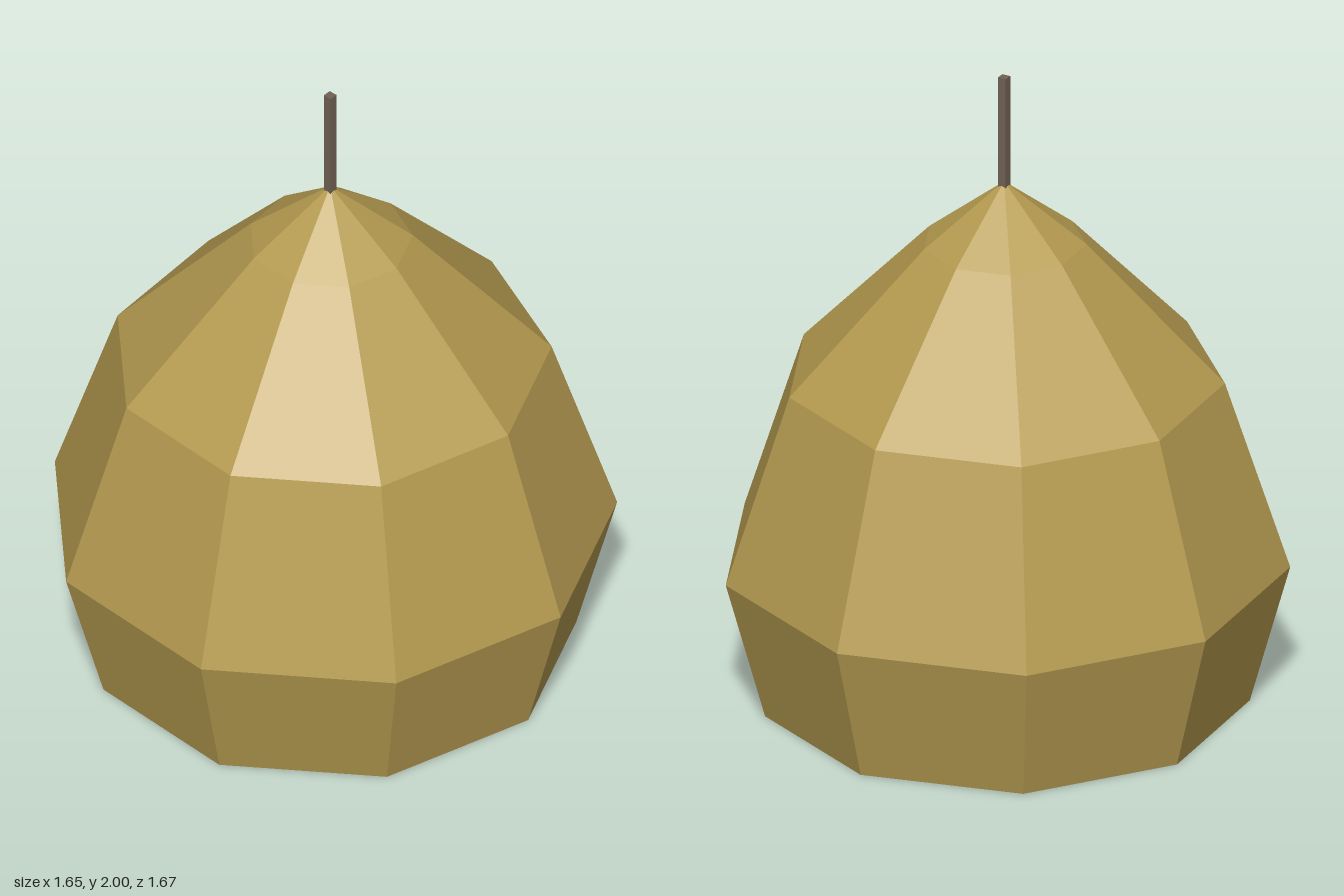
import * as THREE from 'three';

export function createModel() {
  const group = new THREE.Group();
  const gold = new THREE.MeshStandardMaterial({ color: 0xb59b50, flatShading: true, side: THREE.DoubleSide });
  gold.name = 'straw gold';
  const brown = new THREE.MeshStandardMaterial({ color: 0x716154, flatShading: true });
  brown.name = 'stem brown';

  // Nine-sided open shell, with one corner on +x
  const profile = [[0.73, 0], [0.85, 0.44], [0.656, 1.03], [0.245, 1.465], [0.012, 1.65]]
    .map(([r, y]) => new THREE.Vector2(r, y));
  const shell = new THREE.Mesh(new THREE.LatheGeometry(profile, 9, Math.PI / 2), gold);
  shell.name = 'shell';

  // Thin four-sided stem rising from the tip
  const stem = new THREE.Mesh(new THREE.CylinderGeometry(0.019, 0.019, 0.36, 4), brown);
  stem.name = 'stem';
  stem.position.y = 1.82;

  // The odd side count puts the axis slightly off centre
  group.add(shell, stem);
  for (const part of group.children) part.position.x = -0.026;
  return group;
}
